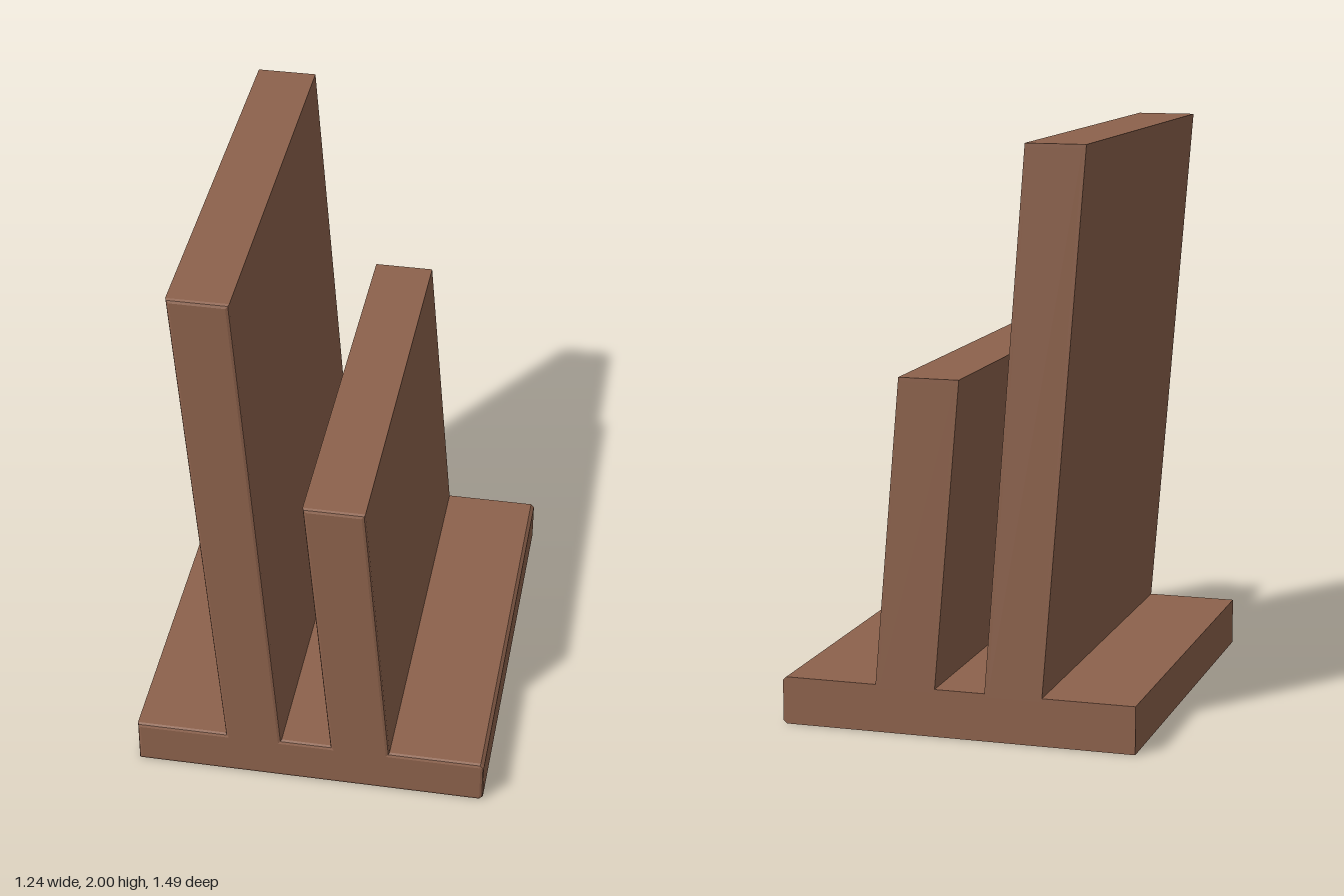
import * as THREE from 'three';

// Outline of base plate with two parallel leaning walls (x, y), counter-clockwise
const PROFILE = [
  [-0.62, 0], [0.608, 0], [0.62, 0.012], [0.62, 0.153], [0.608, 0.165],
  [0.285, 0.165], [0.195, 1.22], [-0.015, 1.22], [0.075, 0.165],
  [-0.10, 0.165], [-0.24, 2], [-0.445, 2], [-0.30, 0.165], [-0.62, 0.165],
];
const HALF_DEPTH = 0.745;
const BEVEL = 0.012;

export function createModel() {
  const group = new THREE.Group();
  group.name = 'slottedStand';

  const shape = new THREE.Shape(PROFILE.map(([x, y]) => new THREE.Vector2(x, y)));
  const geometry = new THREE.ExtrudeGeometry(shape, {
    depth: 2 * HALF_DEPTH - BEVEL,
    bevelEnabled: true,
    bevelSize: BEVEL,
    bevelThickness: BEVEL,
    bevelOffset: -BEVEL,
    bevelSegments: 2,
  });

  // Only the front edges are eased: press the rear bevel flat
  const pos = geometry.attributes.position;
  for (let i = 0; i < pos.count; i++) pos.setZ(i, Math.max(pos.getZ(i), 0));
  geometry.translate(0, 0, -HALF_DEPTH);
  geometry.computeVertexNormals();

  const material = new THREE.MeshStandardMaterial({ color: 0x8d624c });
  const body = new THREE.Mesh(geometry, material);
  body.name = 'baseWithLeaningWalls';
  group.add(body);
  return group;
}
